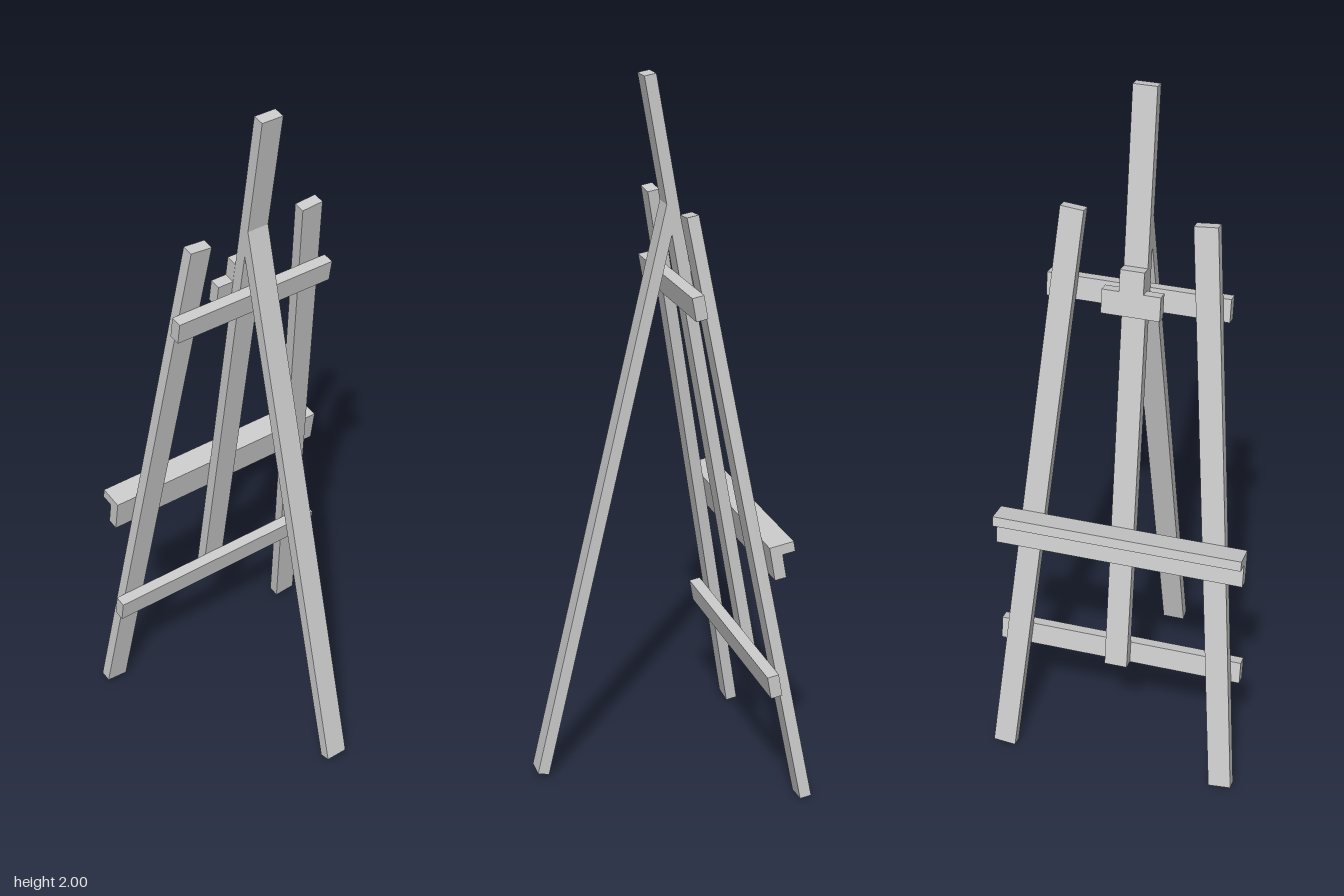
import * as THREE from 'three';

const material = new THREE.MeshStandardMaterial({ color: 0xcccccc, flatShading: true });
const BEAM = 0.065;   // wide side of the timber
const THICK = 0.033;  // narrow side of the timber

// Straight timber running from point a to point b in the plane of its wide face
function beam(name, a, b) {
  const from = new THREE.Vector3(...a);
  const to = new THREE.Vector3(...b);
  const dir = to.clone().sub(from);
  const mesh = new THREE.Mesh(new THREE.BoxGeometry(THICK, dir.length(), BEAM), material);
  mesh.name = name;
  mesh.position.copy(from).add(to).multiplyScalar(0.5);
  mesh.quaternion.setFromUnitVectors(new THREE.Vector3(0, 1, 0), dir.normalize());
  return mesh;
}

// Block centred on z = 0, given by its x range, y range and half width
function block(name, x0, x1, y0, y1, halfWidth) {
  const mesh = new THREE.Mesh(new THREE.BoxGeometry(x1 - x0, y1 - y0, 2 * halfWidth), material);
  mesh.name = name;
  mesh.position.set((x0 + x1) / 2, (y0 + y1) / 2, 0);
  return mesh;
}

export function createModel() {
  const easel = new THREE.Group();
  easel.name = 'easel';

  // Leaning front frame: local y runs up the slope, local x points to the rear
  const frame = new THREE.Group();
  frame.name = 'frontFrame';
  frame.position.set(-0.341, 0.007, 0);
  frame.rotation.z = -Math.atan(0.1794);
  easel.add(frame);

  const face = THICK / 2;
  const outer = face + THICK;

  // Mast and the two splayed front legs
  frame.add(beam('mast', [0, 0.335, 0], [0, 2.022, 0]));
  for (const [side, name] of [[1, 'leftLeg'], [-1, 'rightLeg']]) {
    frame.add(beam(name, [0, 0, side * 0.326], [0, 1.675, side * 0.179]));
  }

  // Crossbars behind the legs
  frame.add(block('lowerCrossbar', face, outer, 0.335, 0.4, 0.353));
  frame.add(block('upperCrossbar', face, outer, 1.412, 1.477, 0.251));

  // Canvas shelf on the front: support rail with a ledge on top
  frame.add(block('shelfRail', -outer, -face, 0.68, 0.748, 0.353));
  frame.add(block('shelfLedge', -0.086, -face, 0.748, 0.777, 0.353));

  // Canvas clamp on the mast: wide jaw with a narrow block above
  frame.add(block('clampJaw', -outer, -face, 1.412, 1.479, 0.08));
  frame.add(block('clampBlock', -outer, -face, 1.479, 1.54, 0.033));

  // Rear leg, joined to the mast near its top
  easel.add(beam('rearLeg', [0.336, 0.0165, 0], [-0.046, 1.653, 0]));

  return easel;
}
